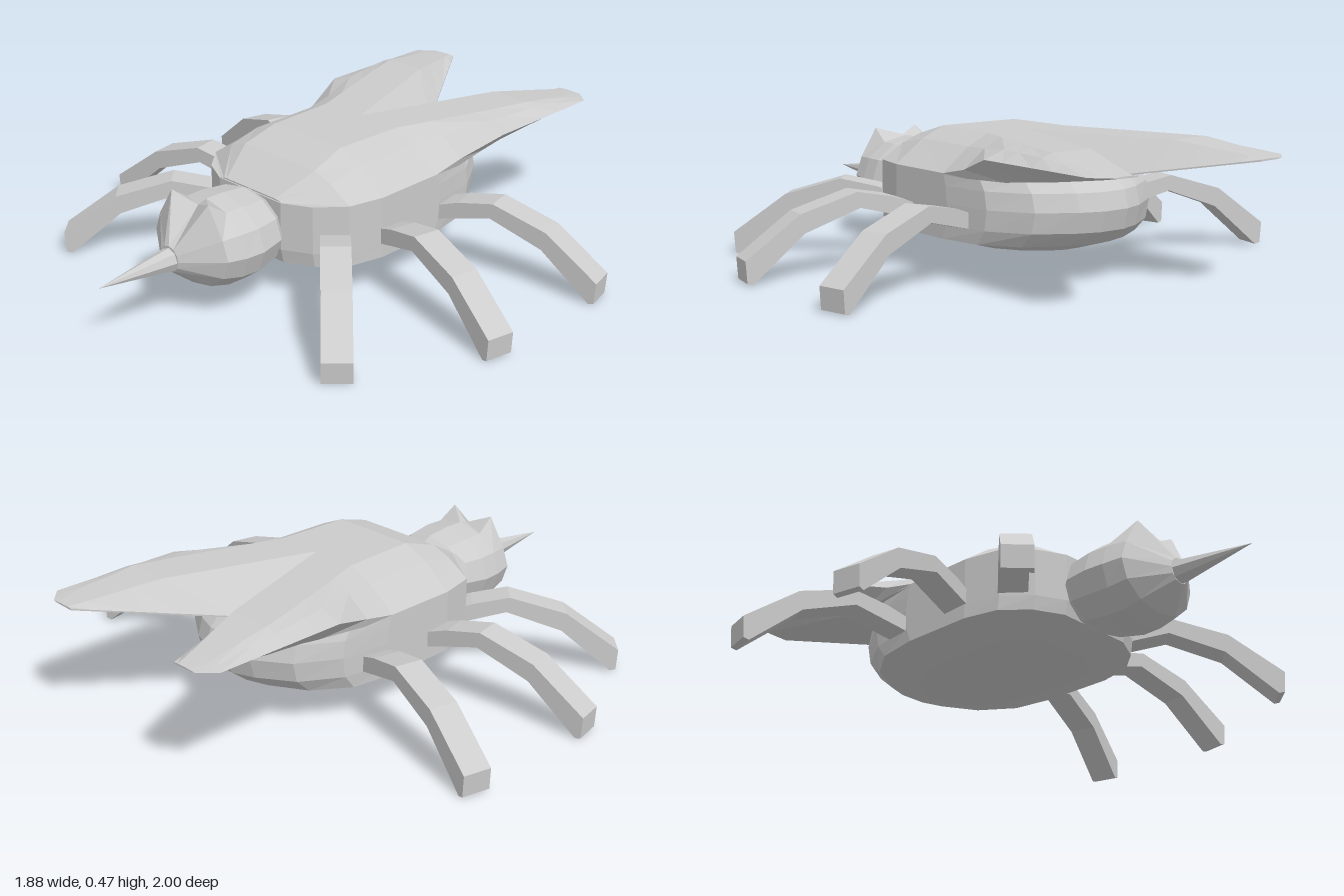
import * as THREE from 'three';

const material = new THREE.MeshStandardMaterial({ color: 0xcccccc, flatShading: true });

// Skins a list of closed rings (arrays of [x, y, z]), caps both ends and turns the faces outward.
function loft(rings) {
  const n = rings[0].length;
  const tris = [];
  for (let i = 0; i < rings.length - 1; i++) {
    for (let j = 0; j < n; j++) {
      const k = (j + 1) % n;
      const a = rings[i][j], b = rings[i][k], c = rings[i + 1][k], d = rings[i + 1][j];
      tris.push([a, b, c], [a, c, d]);
    }
  }
  const cap = (ring, flip) => {
    const mid = [0, 1, 2].map((c) => ring.reduce((s, p) => s + p[c], 0) / n);
    for (let j = 0; j < n; j++) {
      const p = ring[j], q = ring[(j + 1) % n];
      tris.push(flip ? [mid, q, p] : [mid, p, q]);
    }
  };
  cap(rings[0], true);
  cap(rings[rings.length - 1], false);
  const v = (p) => new THREE.Vector3(...p);
  const volume = tris.reduce((s, [a, b, c]) => s + v(a).dot(v(b).cross(v(c))), 0);
  if (volume < 0) tris.forEach((t) => t.reverse());
  const geometry = new THREE.BufferGeometry();
  geometry.setAttribute('position', new THREE.Float32BufferAttribute(tris.flat(2), 3));
  geometry.computeVertexNormals();
  return geometry;
}

function part(name, geometry) {
  const mesh = new THREE.Mesh(geometry, material);
  mesh.name = name;
  return mesh;
}

// Abdomen: stacked oval rings, with a smaller flat belly and a bulging tail.
function makeBody() {
  const half = [[0.15, 0.36], [0.25, 0.31], [0.33, 0.22], [0.36, 0.09], [0.36, -0.2],
    [0.335, -0.38], [0.25, -0.52], [0.13, -0.6], [0.05, -0.63]];
  const outline = [...half, ...half.map(([x, z]) => [-x, z]).reverse()];
  // y, width scale, front scale, back scale
  const levels = [[0.09, 0.6, 0.62, 0.66], [0.13, 1, 0.97, 0.87], [0.18, 1, 1, 0.97],
    [0.25, 1, 1, 1], [0.31, 1, 1, 0.97], [0.35, 1, 1, 0.9]];
  return loft(levels.map(([y, sx, front, back]) =>
    outline.map(([x, z]) => [x * sx, y, z * (z > 0 ? front : back)])));
}

// One half of the domed back, which runs out into a swept wing.
function makeWing(side) {
  // z, crest x, crest y, rim x, rim y, underside x, underside y
  const sections = [
    [0.355, 0.12, 0.355, 0.15, 0.35, 0.15, 0.345],
    [0.22, 0.17, 0.43, 0.33, 0.35, 0.33, 0.345],
    [0.09, 0.16, 0.47, 0.36, 0.35, 0.36, 0.345],
    [-0.18, 0.17, 0.47, 0.36, 0.35, 0.36, 0.345],
    [-0.3, 0.21, 0.47, 0.365, 0.375, 0.355, 0.345],
    [-0.47, 0.265, 0.47, 0.415, 0.43, 0.33, 0.35],
    [-0.56, 0.295, 0.47, 0.415, 0.43, 0.33, 0.362],
    [-0.7, 0.335, 0.47, 0.415, 0.43, 0.345, 0.38],
    [-0.8, 0.34, 0.457, 0.415, 0.43, 0.35, 0.395],
    [-0.95, 0.35, 0.437, 0.415, 0.43, 0.36, 0.418],
    [-1, 0.32, 0.431, 0.36, 0.429, 0.34, 0.426],
  ];
  return loft(sections.map(([z, cx, cy, rx, ry, ux, uy]) => {
    // The valley between the wings drops to a notch, then its edge spreads and rises to the tip.
    const spread = Math.max(0, -0.56 - z);
    const valleyX = 0.6 * spread;
    const valleyY = Math.min(cy, Math.max(0.47 - 0.316 * (-0.18 - z), 0.35 + 0.18 * spread));
    const innerCrestX = Math.max(0, 0.345 * (-0.18 - z));
    const shoulder = [cx + 0.45 * (rx - cx), cy + 0.33 * (ry - cy)];
    const ring = [[valleyX, valleyY], [innerCrestX, cy], [cx, cy], shoulder, [rx, ry], [ux, uy],
      [valleyX, 0.345 + 0.18 * spread]];
    return ring.map(([x, y]) => [side * x, y, z]);
  }));
}

// Head: twelve-sided rings along z; the brow ring has two raised points and a notch between them.
function makeHead() {
  // z, centre y, half width, half height
  const rings = [[0.34, 0.235, 0.14, 0.11], [0.385, 0.235, 0.18, 0.135], [0.48, 0.23, 0.2, 0.15],
    [0.55, 0.23, 0.195, 0.15], [0.62, 0.235, 0.18, 0.135], [0.715, 0.22, 0.045, 0.045]];
  return loft(rings.map(([z, cy, rx, ry], r) => {
    const ring = [];
    for (let i = 0; i < 12; i++) {
      const a = (i / 12) * Math.PI * 2;
      const brow = r === 4;
      const horn = brow && (i === 1 || i === 11) ? 0.055 : 0;
      const notch = brow && i === 0 ? 0.035 : 0;
      ring.push([Math.sin(a) * rx, cy + Math.cos(a) * ry + horn, z - notch]);
    }
    return ring;
  }));
}

// Leg: arched bar profile, extruded to its width and centred on it.
function makeLeg() {
  const profile = [[-0.1, 0.2], [0, 0.235], [0.06, 0.255], [0.19, 0.28], [0.39, 0.22], [0.58, 0.08],
    [0.575, 0.005], [0.555, 0], [0.375, 0.155], [0.18, 0.225], [0, 0.18], [-0.1, 0.15]];
  const shape = new THREE.Shape(profile.map(([x, y]) => new THREE.Vector2(x, y)));
  return new THREE.ExtrudeGeometry(shape, { depth: 0.1, bevelEnabled: false }).translate(0, 0, -0.05);
}

export function createModel() {
  const model = new THREE.Group();
  model.name = 'insect';
  model.add(part('body', makeBody()), part('head', makeHead()));

  // Pointed mouthpart
  const beak = part('proboscis', new THREE.ConeGeometry(0.042, 0.29, 8).rotateX(Math.PI / 2));
  beak.position.set(0, 0.217, 0.855);
  model.add(beak);

  // Root x, root z and forward sweep of each leg
  const legs = [['frontLeg', 0.27, 0.225, Math.PI / 4], ['middleLeg', 0.36, 0.045, 0.2], ['rearLeg', 0.36, -0.25, -0.235]];
  const legGeometry = makeLeg();
  for (const side of [1, -1]) {
    const suffix = side > 0 ? 'Left' : 'Right';
    model.add(part('wing' + suffix, makeWing(side)));
    for (const [name, x, z, sweep] of legs) {
      const leg = part(name + suffix, legGeometry);
      leg.position.set(side * x, 0, z);
      leg.rotation.y = side > 0 ? -sweep : Math.PI + sweep;
      model.add(leg);
    }
  }
  return model;
}
